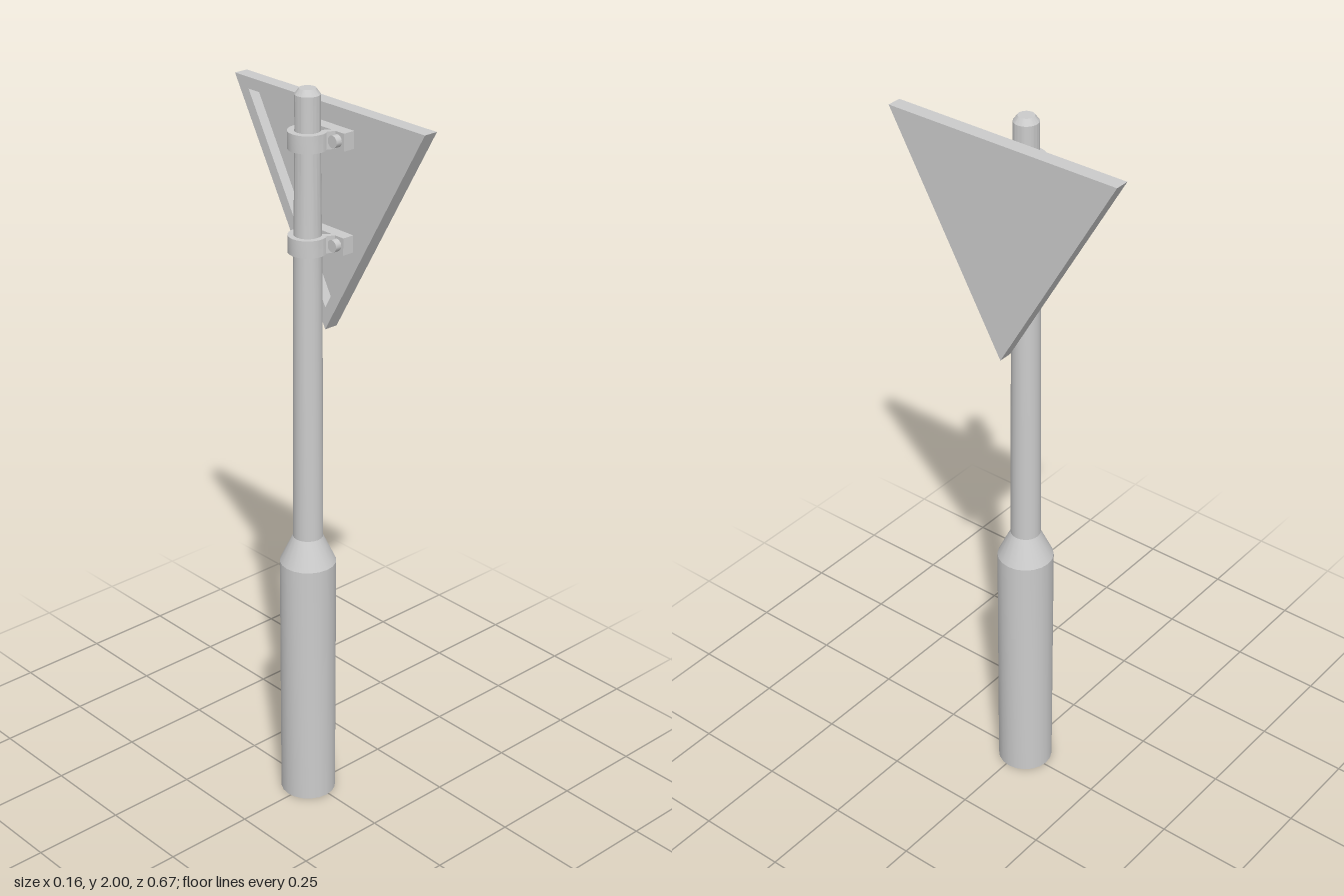
import * as THREE from 'three';
import { toCreasedNormals } from 'three/addons/utils/BufferGeometryUtils.js';

const PX = -0.008, PZ = -0.01; // pole axis
const mat = new THREE.MeshStandardMaterial({ color: 0xcccccc });

function add(parent, name, geo, x = 0, y = 0, z = 0) {
  const mesh = new THREE.Mesh(geo, mat);
  mesh.name = name;
  mesh.position.set(x, y, z);
  parent.add(mesh);
  return mesh;
}

// Downward triangle in the (z, y) plane, inset evenly from its edges
function triangle(inset) {
  const top = 1.955 - inset, tip = 1.365 + inset * 2.01;
  const half = (top - tip) * 0.337 / 0.59;
  return [[-half, top], [0, tip], [half, top]].map(p => new THREE.Vector2(...p));
}

// Extrude a (z, y) outline along x, from x0 to x1
function plate(shape, x0, x1) {
  const geo = new THREE.ExtrudeGeometry(shape, { depth: x1 - x0, bevelEnabled: false });
  return geo.rotateY(Math.PI / 2).translate(x0, 0, 0);
}

// Strap around the pole with two arms flaring towards the sign
function strapGeometry(height) {
  const pts = [], n = 14;
  const arc = (r, a0, a1) => {
    for (let i = 0; i <= n; i++) {
      const a = THREE.MathUtils.degToRad(a0 + (a1 - a0) * i / n);
      pts.push(new THREE.Vector2(r * Math.cos(a), r * Math.sin(a)));
    }
  };
  const path = list => list.forEach(p => pts.push(new THREE.Vector2(...p)));
  arc(0.05, 68, 292);
  path([[0.022, -0.04], [0.048, -0.051], [0.048, -0.038], [0.027, -0.023]]);
  arc(0.033, 315, 45);
  path([[0.027, 0.023], [0.048, 0.038], [0.048, 0.051], [0.022, 0.04]]);
  const geo = new THREE.ExtrudeGeometry(new THREE.Shape(pts), { depth: height, bevelEnabled: false });
  return toCreasedNormals(geo.rotateX(-Math.PI / 2).translate(0, -height / 2, 0), 0.4);
}

export function createModel() {
  const model = new THREE.Group();
  model.name = 'roadSign';

  // Pole: wide sleeve, shoulder, tapering upper tube, bevelled top; open at the bottom
  const profile = [[0.075, 0], [0.075, 0.715], [0.04, 0.79], [0.037, 1.5],
    [0.032, 1.87], [0.032, 1.985], [0.021, 2], [0, 2]].map(p => new THREE.Vector2(...p));
  add(model, 'pole', toCreasedNormals(new THREE.LatheGeometry(profile, 20), 0.4), PX, 0, PZ);

  // Sign: front panel and a raised rim around the recessed back
  const sign = new THREE.Group();
  sign.name = 'sign';
  model.add(sign);
  add(sign, 'signPanel', plate(new THREE.Shape(triangle(0)), 0.07, 0.081));
  const rim = new THREE.Shape(triangle(0));
  rim.holes.push(new THREE.Path(triangle(0.03).reverse()));
  add(sign, 'signRim', plate(rim, 0.042, 0.07));

  // Two clamps holding the sign to the pole
  for (const y of [1.607, 1.873]) {
    const clamp = new THREE.Group();
    clamp.name = 'clamp';
    clamp.position.set(PX, y, PZ);
    model.add(clamp);
    add(clamp, 'strap', strapGeometry(0.045));
    add(clamp, 'mountingPlate', new THREE.BoxGeometry(0.034, 0.045, 0.154), 0.062, 0, 0.003);
    for (const side of [-1, 1]) {
      const bolt = new THREE.CylinderGeometry(0.016, 0.016, 0.02, 12).rotateZ(Math.PI / 2);
      add(clamp, 'bolt', bolt, 0.038, 0, side * 0.057);
    }
  }
  return model;
}
